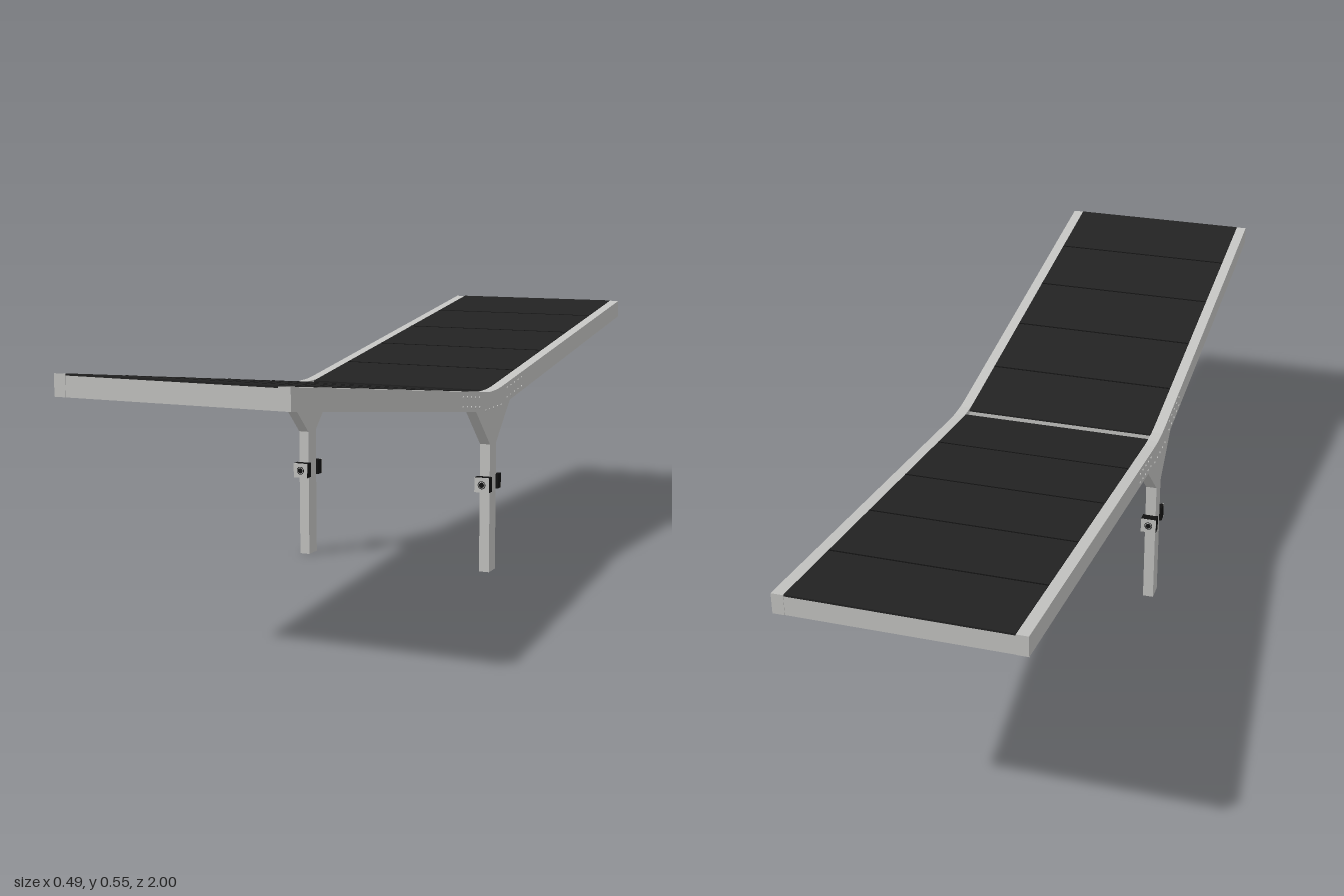
import * as THREE from 'three';

const mat = (name, color) => Object.assign(new THREE.MeshStandardMaterial({ color }), { name });

// Heights of the wing's upper and lower surface at distance z from the middle
const topY = (z) => 0.412 + 0.133 * z;
const lowY = (z) => 0.367 + 0.135 * z;

export function createModel() {
  const root = new THREE.Group();
  root.name = 'doubleWingCanopy';
  const steel = mat('lightSteel', 0xc4c4c2);
  const panel = mat('blackPanel', 0x222222);
  const dark = mat('darkTrim', 0x111111);

  const add = (parent, name, geo, material, x = 0, y = 0, z = 0) => {
    const mesh = new THREE.Mesh(geo, material);
    mesh.name = name;
    mesh.position.set(x, y, z);
    parent.add(mesh);
    return mesh;
  };

  // Extrudes a (z, y) outline across x, centred on x = 0
  const across = (points, width) => {
    const shape = new THREE.Shape(points.map(([z, y]) => new THREE.Vector2(z, y)));
    const geo = new THREE.ExtrudeGeometry(shape, { depth: width, bevelEnabled: false });
    return geo.translate(0, 0, -width / 2).rotateY(-Math.PI / 2);
  };

  // Wings: steel tray, black top sheet and the seams between five panels
  for (const s of [1, -1]) {
    const wing = new THREE.Group();
    wing.name = s > 0 ? 'frontWing' : 'backWing';
    wing.rotation.y = s > 0 ? 0 : Math.PI;
    root.add(wing);
    const a = 0.012, b = 0.999;
    add(wing, 'panelTray', across([[a, lowY(a)], [b, lowY(b)], [b, topY(b) - 0.003], [a, topY(a) - 0.003]], 0.434), steel);
    add(wing, 'panelTop', across([[a, topY(a) - 0.003], [b, topY(b) - 0.003], [b, topY(b) + 0.001], [a, topY(a) + 0.001]], 0.432), panel);
    for (let i = 1; i < 5; i++) {
      const z = i * 0.2;
      const top = add(wing, 'topSeam', new THREE.BoxGeometry(0.432, 0.001, 0.004), dark, 0, topY(z) + 0.001, z);
      const low = add(wing, 'undersideSeam', new THREE.BoxGeometry(0.434, 0.001, 0.004), dark, 0, lowY(z), z);
      top.rotation.x = low.rotation.x = -Math.atan(0.134);
    }
  }

  // One bent beam, post, braces, bolts and lamps on each side
  const beamOutline = [[-1, lowY(1)], [-0.03, 0.371], [0.03, 0.371], [1, lowY(1)],
    [1, topY(1)], [0.05, topY(0.05)], [0.02, 0.416], [-0.02, 0.416], [-0.05, topY(0.05)], [-1, topY(1)]];
  const beamGeo = across(beamOutline, 0.024);
  const braceGeo = across([[-0.02, 0.296], [0.02, 0.296], [0.112, 0.384], [0.03, 0.372], [-0.03, 0.372], [-0.112, 0.384]], 0.024);
  const boltGeo = new THREE.CylinderGeometry(0.0025, 0.0025, 0.028, 6).rotateZ(Math.PI / 2);
  const lensGeo = new THREE.CylinderGeometry(0.006, 0.006, 0.003, 20).rotateX(Math.PI / 2);
  const ringGeo = new THREE.TorusGeometry(0.0085, 0.0008, 6, 24);

  for (const s of [1, -1]) {
    const side = new THREE.Group();
    side.name = s > 0 ? 'leftSupport' : 'rightSupport';
    side.position.x = s * 0.2285;
    root.add(side);
    add(side, 'beam', beamGeo, steel);
    add(side, 'braces', braceGeo, steel);
    add(side, 'post', new THREE.BoxGeometry(0.024, 0.372, 0.04), steel, 0, 0.186, 0);

    // Two rows of splice bolts on either arm and one row over the post
    for (const d of [1, -1]) {
      for (let i = 0; i < 5; i++) {
        const z = 0.09 + i * 0.025;
        add(side, 'spliceBolt', boltGeo, steel, 0, topY(z) - 0.012, d * z);
        add(side, 'spliceBolt', boltGeo, steel, 0, lowY(z) + 0.011, d * z);
      }
    }
    for (let i = -2; i <= 2; i++) add(side, 'postBolt', boltGeo, steel, 0, 0.378, i * 0.025);

    // Small lamps facing front and back
    for (const d of [1, -1]) {
      const lamp = new THREE.Group();
      lamp.name = d > 0 ? 'frontLamp' : 'backLamp';
      lamp.rotation.y = d > 0 ? 0 : Math.PI;
      lamp.position.y = 0.205;
      side.add(lamp);
      add(lamp, 'lampBody', new THREE.BoxGeometry(0.035, 0.034, 0.02), dark, 0, 0, 0.029);
      add(lamp, 'lampFace', new THREE.BoxGeometry(0.035, 0.034, 0.002), steel, 0, 0, 0.039);
      add(lamp, 'lampLens', lensGeo, dark, 0, 0, 0.04);
      add(lamp, 'lampRing', ringGeo, dark, 0, 0, 0.04);
    }
  }
  return root;
}
